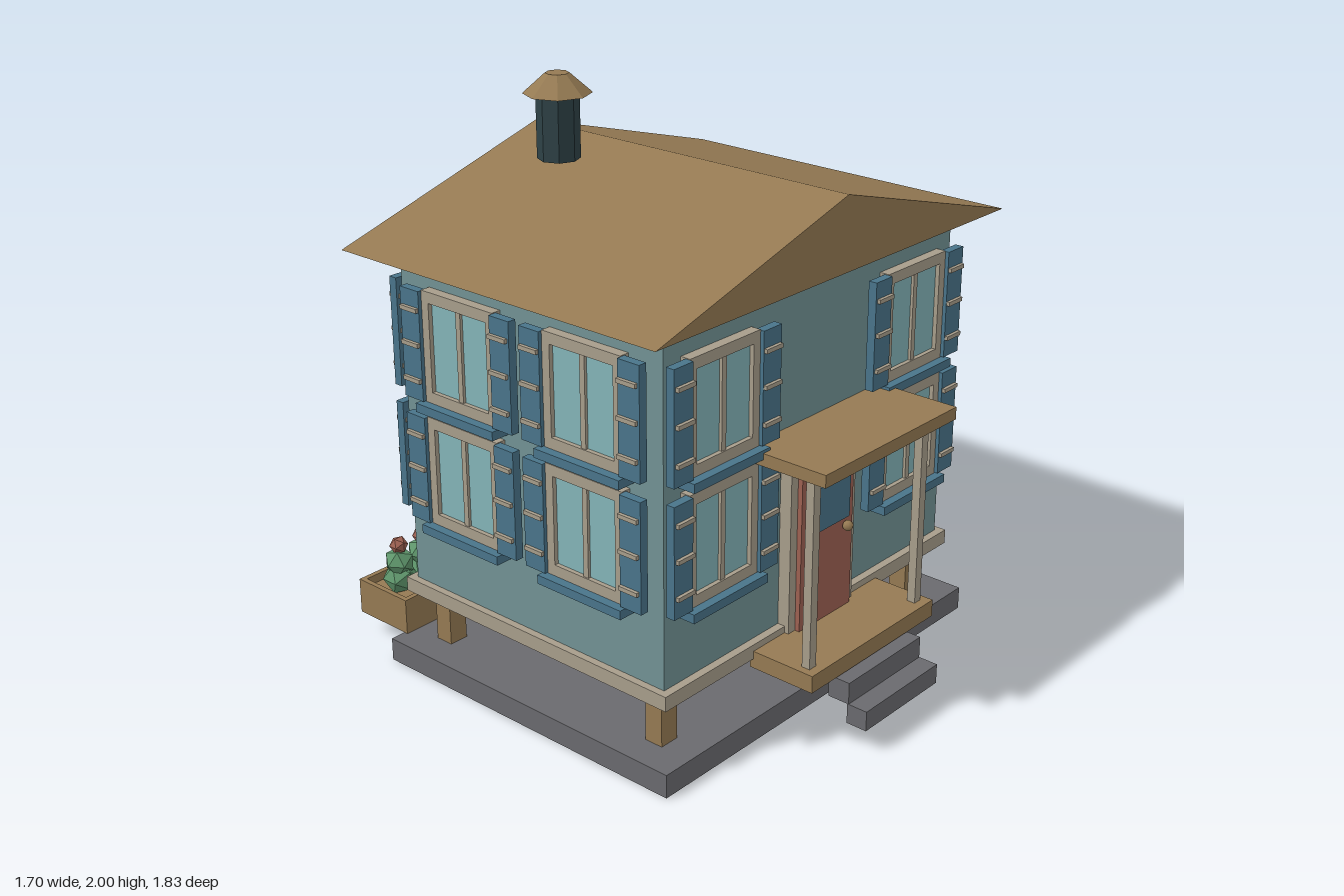
import * as THREE from 'three';

const mat = (name, color) => {
  const m = new THREE.MeshStandardMaterial({ color });
  m.name = name;
  return m;
};

export function createModel() {
  const wall = mat('wall teal', 0x729294), wood = mat('wood brown', 0x957a53);
  const cream = mat('trim cream', 0xa79d8b), blue = mat('shutter blue', 0x49748a);
  const glass = mat('glass aqua', 0x83b4b8), red = mat('door red', 0x9e6152);
  const stone = mat('stone grey', 0x6a6a6e), dark = mat('dark metal', 0x2e4146);
  const green = mat('leaf green', 0x5f966c);

  const model = new THREE.Group();
  model.name = 'house';

  const add = (parent, name, geometry, material, x = 0, y = 0, z = 0) => {
    const mesh = new THREE.Mesh(geometry, material);
    mesh.name = name;
    mesh.position.set(x, y, z);
    parent.add(mesh);
    return mesh;
  };
  // box given by its minimum and maximum corners
  const box = (parent, name, material, x0, x1, y0, y1, z0, z1) =>
    add(parent, name, new THREE.BoxGeometry(x1 - x0, y1 - y0, z1 - z0), material,
      (x0 + x1) / 2, (y0 + y1) / 2, (z0 + z1) / 2);
  const facet = (geometry) => {
    const g = geometry.index ? geometry.toNonIndexed() : geometry;
    g.computeVertexNormals();
    return g;
  };
  const group = (parent, name) => {
    const g = new THREE.Group();
    g.name = name;
    parent.add(g);
    return g;
  };

  // foundation, stilts, body
  box(model, 'foundationSlab', stone, -0.775, 0.775, 0, 0.08, -0.615, 0.615);
  for (const x of [-0.635, 0, 0.635])
    for (const z of [-0.47, 0.47])
      box(model, 'stilt', wood, x - 0.035, x + 0.035, 0.08, 0.26, z - 0.033, z + 0.033);
  box(model, 'floorTrim', cream, -0.73, 0.73, 0.26, 0.31, -0.573, 0.573);
  box(model, 'walls', wall, -0.705, 0.705, 0.31, 1.46, -0.545, 0.545);

  // gabled roof
  const gable = new THREE.Shape();
  gable.moveTo(-0.85, 0);
  gable.lineTo(0.85, 0);
  gable.lineTo(0, 0.243);
  gable.closePath();
  add(model, 'roof', new THREE.ExtrudeGeometry(gable, { depth: 1.296, bevelEnabled: false }),
    wood, 0, 1.462, -0.648);

  // chimney
  const chimney = group(model, 'chimney');
  chimney.position.set(-0.355, 0, -0.19);
  add(chimney, 'chimneyPipe', facet(new THREE.CylinderGeometry(0.067, 0.067, 0.205, 8)), dark, 0, 1.8375, 0);
  add(chimney, 'chimneyCap', facet(new THREE.CylinderGeometry(0.037, 0.107, 0.062, 8)), wood, 0, 1.969, 0);

  // shuttered window facing +z, its origin on the wall
  const shutteredWindow = (parent, x, y) => {
    const w = group(parent, 'window');
    w.position.set(x, y, 0);
    for (const s of [-1, 1]) {
      add(w, 'frameSide', new THREE.BoxGeometry(0.03, 0.37, 0.035), cream, s * 0.141, 0, 0.0175);
      add(w, 'frameRail', new THREE.BoxGeometry(0.252, 0.037, 0.035), cream, 0, s * 0.1665, 0.0175);
      add(w, 'shutter', new THREE.BoxGeometry(0.083, 0.365, 0.03), blue, s * 0.1975, 0, 0.033);
      for (const h of [-0.115, 0.005, 0.12])
        add(w, 'shutterSlat', new THREE.BoxGeometry(0.074, 0.014, 0.045), cream, s * 0.195, h, 0.037);
    }
    add(w, 'pane', new THREE.BoxGeometry(0.252, 0.296, 0.02), glass, 0, 0, 0.01);
    add(w, 'mullion', new THREE.BoxGeometry(0.02, 0.296, 0.03), cream, 0, 0, 0.015);
    add(w, 'sill', new THREE.BoxGeometry(0.344, 0.03, 0.066), blue, 0, -0.2, 0.033);
  };

  // four faces of windows: turn, wall distance, window offset
  for (const [name, turn, distance, offset] of [
    ['frontWindows', 0, 0.545, 0.474], ['leftWindows', Math.PI / 2, 0.705, 0.26],
    ['backWindows', Math.PI, 0.545, 0.474], ['rightWindows', -Math.PI / 2, 0.705, 0.26]]) {
    const face = group(model, name);
    face.rotation.y = turn;
    face.position.set(Math.sin(turn) * distance, 0, Math.cos(turn) * distance);
    for (const x of [-offset, offset])
      for (const y of [0.75, 1.172]) shutteredWindow(face, x, y);
  }

  // porch, door and steps on the front (s = 1) and back (s = -1)
  for (const s of [1, -1]) {
    const porch = group(model, s > 0 ? 'frontPorch' : 'backPorch');
    const slab = (name, material, w, y0, y1, z0, z1) =>
      box(porch, name, material, -w, w, y0, y1, Math.min(s * z0, s * z1), Math.max(s * z0, s * z1));
    slab('porchFloor', wood, 0.32, 0.228, 0.287, 0.56, 0.803);
    slab('porchRoof', wood, 0.335, 0.935, 0.977, 0.54, 0.843);
    for (const x of [-0.278, 0.278])
      add(porch, 'porchPost', new THREE.BoxGeometry(0.032, 0.648, 0.03), cream, x, 0.611, s * 0.757);
    slab('upperStep', stone, 0.19, 0.148, 0.222, 0.77, 0.848);
    slab('lowerStep', stone, 0.19, 0.08, 0.148, 0.843, 0.917);
    slab('doorFrame', cream, 0.165, 0.287, 0.918, 0.54, 0.588);
    slab('door', red, 0.132, 0.287, 0.875, 0.54, 0.605);
    slab('doorWindow', blue, 0.09, 0.62, 0.77, 0.605, 0.625);
    add(porch, 'doorKnob', new THREE.SphereGeometry(0.018, 8, 6), wood, 0.087, 0.585, s * 0.622);
  }

  // planter with three flowering bushes
  const planter = group(model, 'planter');
  box(planter, 'planterBase', wood, -0.72, -0.362, 0.08, 0.175, -0.835, -0.6);
  for (const [x0, x1, z0, z1] of [[-0.72, -0.362, -0.835, -0.817], [-0.72, -0.362, -0.618, -0.6],
    [-0.72, -0.702, -0.817, -0.618], [-0.38, -0.362, -0.817, -0.618]])
    box(planter, 'planterRim', wood, x0, x1, 0.175, 0.205, z0, z1);
  for (const x of [-0.64, -0.538, -0.434]) {
    add(planter, 'bush', new THREE.IcosahedronGeometry(0.06, 0), green, x, 0.225, -0.714);
    add(planter, 'bushTop', new THREE.IcosahedronGeometry(0.054, 0), green, x, 0.283, -0.714).rotation.y = 0.6;
    add(planter, 'flower', new THREE.IcosahedronGeometry(0.032, 0), red, x, 0.345, -0.714);
  }

  // outdoor cooling unit with a slatted grille
  const cooler = group(model, 'coolingUnit');
  box(cooler, 'coolerCase', dark, 0.4, 0.665, 0.11, 0.352, -0.778, -0.585);
  for (let i = 0; i < 5; i++)
    add(cooler, 'grilleSlat', new THREE.BoxGeometry(0.21, 0.016, 0.014), dark, 0.53, 0.155 + i * 0.039, -0.783);

  // drainpipe and its slanted outlet
  const drain = group(model, 'drainpipe');
  add(drain, 'downpipe', facet(new THREE.CylinderGeometry(0.021, 0.021, 1.36, 8)), dark, 0.685, 0.78, -0.607);
  add(drain, 'outlet', facet(new THREE.CylinderGeometry(0.021, 0.021, 0.175, 8)), dark, 0.685, 0.095, -0.682)
    .rotation.x = Math.PI / 2 - 0.3 + Math.PI;
  drain.getObjectByName('outlet').rotation.x = Math.PI / 2 - 0.27;
  return model;
}
